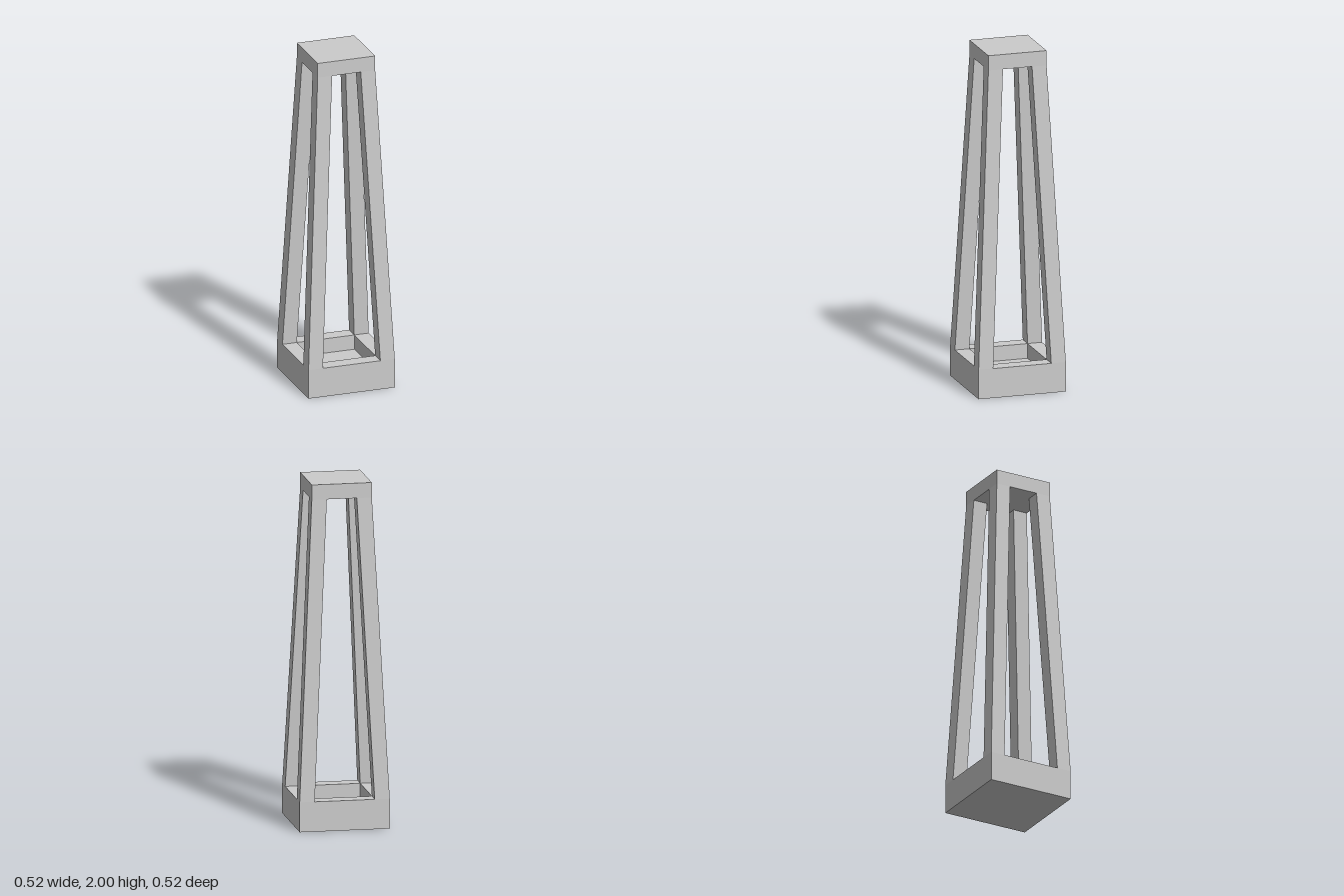
import * as THREE from 'three';

const U = 2 / 23; // module: bar thickness
const BASE_H = 2 * U, CAP_H = U, LEG_H = 20 * U;

export function createModel() {
  const group = new THREE.Group();
  const material = new THREE.MeshStandardMaterial({ color: 0xcccccc, flatShading: true });

  const add = (name, geometry) => {
    const mesh = new THREE.Mesh(geometry, material);
    mesh.name = name;
    group.add(mesh);
    return mesh;
  };

  // Square base with a shallow recess: a four-sided lathe of [half width, height]
  const profile = [[0, 0], [3, 0], [3, 2], [2, 2], [2, 1], [0, 1]]
    .map(([r, y]) => new THREE.Vector2(r * U * Math.SQRT2, y * U));
  const base = new THREE.LatheGeometry(profile, 4, Math.PI / 4).toNonIndexed();
  base.computeVertexNormals();
  add('base', base);

  // Four square legs, each leaning one module inward along both axes
  for (const sx of [-1, 1]) {
    for (const sz of [-1, 1]) {
      const leg = new THREE.BoxGeometry(U, LEG_H, U);
      const pos = leg.attributes.position;
      for (let i = 0; i < pos.count; i++) {
        const shift = pos.getY(i) > 0 ? 1.5 * U : 2.5 * U;
        pos.setX(i, pos.getX(i) + sx * shift);
        pos.setZ(i, pos.getZ(i) + sz * shift);
      }
      leg.computeVertexNormals();
      const side = sx > 0 ? 'Left' : 'Right';
      add((sz > 0 ? 'front' : 'back') + side + 'Leg', leg).position.y = BASE_H + LEG_H / 2;
    }
  }

  // Flat cap joining the leg tops
  add('cap', new THREE.BoxGeometry(4 * U, CAP_H, 4 * U)).position.y = 2 - CAP_H / 2;

  return group;
}
